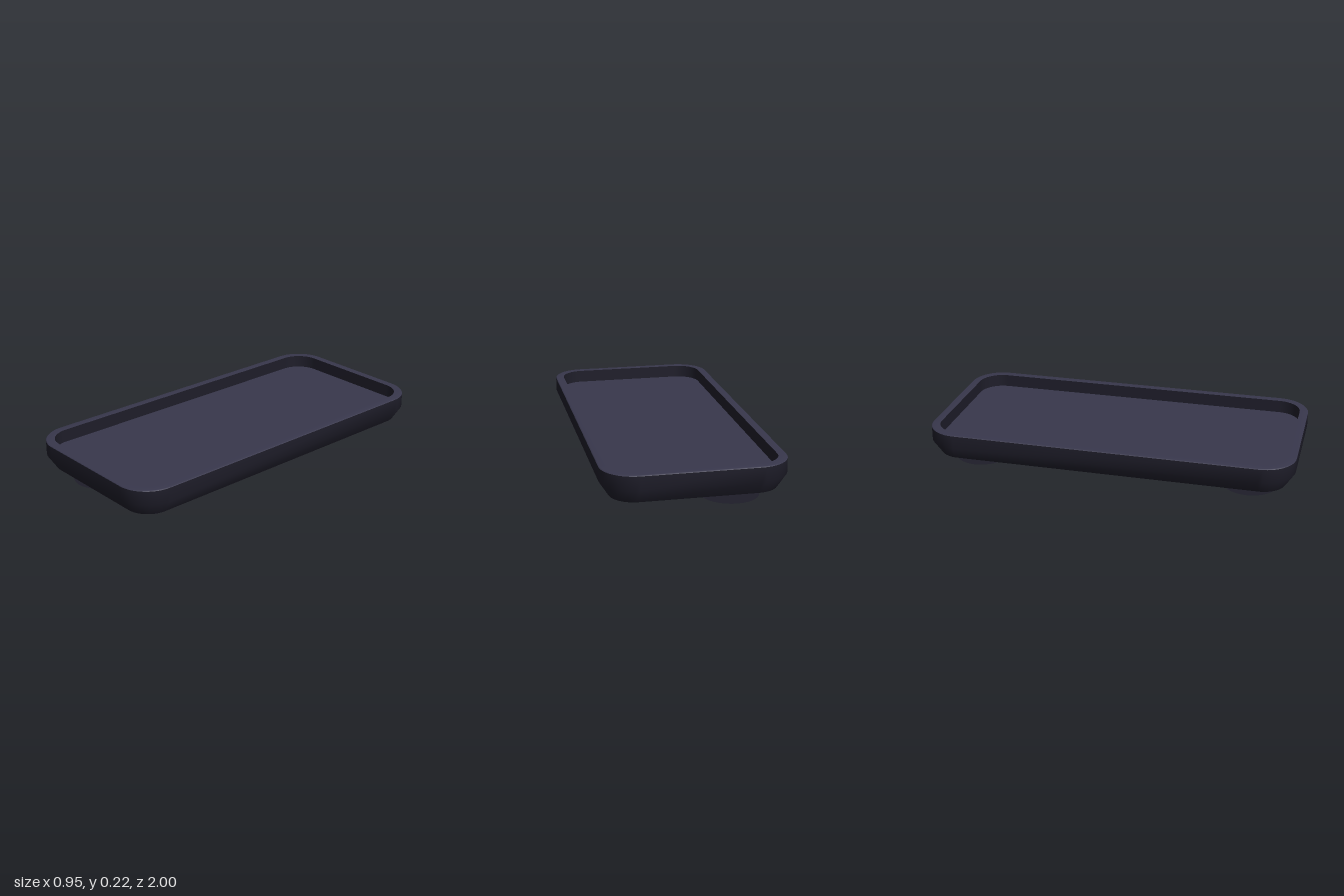
import * as THREE from 'three';

const HALF_X = 0.474, HALF_Z = 1, RADIUS = 0.175;

// Loop of points around a rounded rectangle, inset from the outer outline
function ring(inset, y) {
  const pts = [], r = RADIUS - inset, steps = 12;
  for (let c = 0; c < 4; c++) {
    const sx = c === 0 || c === 3 ? 1 : -1, sz = c < 2 ? 1 : -1;
    for (let i = 0; i <= steps; i++) {
      const a = (c + i / steps) * Math.PI / 2;
      pts.push(sx * (HALF_X - RADIUS) + r * Math.cos(a), y, sz * (HALF_Z - RADIUS) + r * Math.sin(a));
    }
  }
  return pts;
}

// Smooth band through successive [inset, height] loops
function loft(profile) {
  const pos = profile.flatMap(([inset, y]) => ring(inset, y));
  const n = pos.length / 3 / profile.length, idx = [];
  for (let k = 0; k < profile.length - 1; k++) {
    for (let i = 0; i < n; i++) {
      const a = k * n + i, a2 = k * n + (i + 1) % n;
      idx.push(a, a + n, a2, a + n, a2 + n, a2);
    }
  }
  const g = new THREE.BufferGeometry();
  g.setAttribute('position', new THREE.Float32BufferAttribute(pos, 3));
  g.setIndex(idx);
  g.computeVertexNormals();
  return g;
}

// Flat rounded plate filling one loop
function plate(inset, y) {
  const p = ring(inset, 0), outline = [];
  for (let i = 0; i < p.length; i += 3) outline.push(new THREE.Vector2(p[i], p[i + 2]));
  return new THREE.ShapeGeometry(new THREE.Shape(outline)).rotateX(-Math.PI / 2).translate(0, y, 0);
}

export function createModel() {
  const model = new THREE.Group();
  const wallColour = new THREE.MeshStandardMaterial({ color: 0x1e1d29, side: THREE.DoubleSide });
  wallColour.name = 'near black';
  const panelColour = new THREE.MeshStandardMaterial({ color: 0x38374c, side: THREE.DoubleSide });
  panelColour.name = 'dark slate';

  const add = (name, geometry, material) => {
    const mesh = new THREE.Mesh(geometry, material);
    mesh.name = name;
    model.add(mesh);
    return mesh;
  };

  // Frame: chamfered outside, straight inside, open underneath
  const inner = 0.047;
  add('outerWall', loft([[inner, 0.067], [0, 0.14], [0, 0.215]]), wallColour);
  add('rim', loft([[0, 0.215], [0.005, 0.22], [inner, 0.22]]), panelColour);
  add('innerWall', loft([[inner, 0.22], [inner, 0.067]]), wallColour);

  // Sunken panel, seen from above and below
  add('panel', plate(inner, 0.15), panelColour);

  // Two flat foot pads under the right half
  const padGeometry = new THREE.CircleGeometry(0.15, 32).rotateX(Math.PI / 2);
  for (const side of [1, -1]) {
    const pad = add(side > 0 ? 'frontFootPad' : 'backFootPad', padGeometry, wallColour);
    pad.position.set(-0.205, 0, side * 0.755);
  }
  return model;
}
